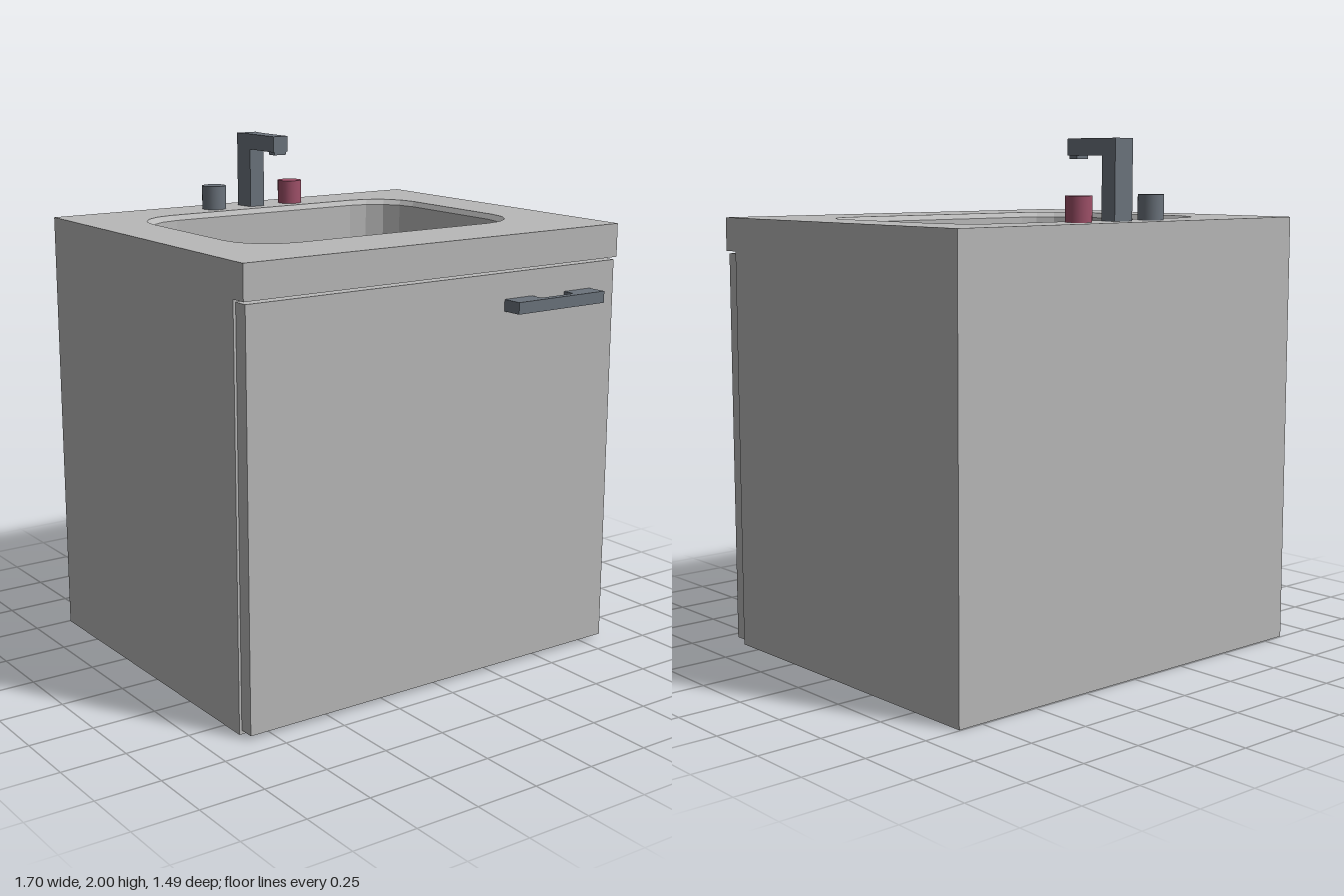
import * as THREE from 'three';

const TOP = 1.7;

// Rounded rectangle in plan, as [x, z] points
function ring(hx, z0, z1, r, steps = 4) {
  const corners = [[hx - r, z1 - r], [r - hx, z1 - r], [r - hx, z0 + r], [hx - r, z0 + r]];
  const pts = [];
  corners.forEach(([cx, cz], q) => {
    for (let i = 0; i <= steps; i++) {
      const a = (q + i / steps) * Math.PI / 2;
      pts.push([cx + r * Math.cos(a), cz + r * Math.sin(a)]);
    }
  });
  return pts;
}

// Plan outline ([x, z] points) as a shape; rotated by -90 degrees about x it lies flat
const planPoints = pts => pts.map(([x, z]) => new THREE.Vector2(x, -z));
const planShape = pts => new THREE.Shape(planPoints(pts));
const planExtrude = (pts, y, h) =>
  new THREE.ExtrudeGeometry(planShape(pts), { depth: h, bevelEnabled: false })
    .rotateX(-Math.PI / 2).translate(0, y, 0);

// Box from its limits
const box = (x0, x1, y0, y1, z0, z1) =>
  new THREE.BoxGeometry(x1 - x0, y1 - y0, z1 - z0)
    .translate((x0 + x1) / 2, (y0 + y1) / 2, (z0 + z1) / 2);

// Cabinet side profile with a front lip, pulled across the width and left open on top
function cabinetGeometry() {
  const profile = new THREE.Shape([
    [-0.745, 0], [0.6, 0], [0.6, 1.57], [0.665, 1.57], [0.665, TOP], [-0.745, TOP],
  ].map(p => new THREE.Vector2(...p)));
  const solid = new THREE.ExtrudeGeometry(profile, { depth: 1.7, bevelEnabled: false })
    .rotateY(-Math.PI / 2).translate(0.85, 0, 0).toNonIndexed();
  const p = solid.attributes.position;
  const kept = [];
  for (let i = 0; i < p.count; i += 3) {
    if (Math.min(p.getY(i), p.getY(i + 1), p.getY(i + 2)) > TOP - 0.001) continue;
    for (let j = i; j < i + 3; j++) kept.push(p.getX(j), p.getY(j), p.getZ(j));
  }
  const g = new THREE.BufferGeometry();
  g.setAttribute('position', new THREE.Float32BufferAttribute(kept, 3));
  g.computeVertexNormals();
  return g;
}

// Bowl lofted down through rings and closed with a flat floor
function bowlGeometry(levels) {
  const out = [];
  const add = (...corners) => corners.forEach(c => out.push(...c));
  const at = (l, i) => {
    const [x, z] = l.pts[i % l.pts.length];
    return [x, l.y, z];
  };
  const n = levels[0].pts.length;
  for (let i = 0; i < n; i++) {
    for (let k = 0; k + 1 < levels.length; k++) {
      const a = at(levels[k], i), b = at(levels[k], i + 1);
      const c = at(levels[k + 1], i), d = at(levels[k + 1], i + 1);
      add(a, c, b, b, c, d);
    }
    const floor = levels[levels.length - 1];
    add([0, floor.y, -0.08], at(floor, i + 1), at(floor, i));
  }
  const g = new THREE.BufferGeometry();
  g.setAttribute('position', new THREE.Float32BufferAttribute(out, 3));
  g.computeVertexNormals();
  return g;
}

export function createModel() {
  const group = new THREE.Group();
  group.name = 'sinkCabinet';
  const material = (name, color) => {
    const m = new THREE.MeshStandardMaterial({ color });
    m.name = name;
    return m;
  };
  const grey = material('lightGrey', 0xb8b8b8);
  const metal = material('darkMetal', 0x6b737c);
  const red = material('hotRed', 0x9e5068);
  const add = (name, geometry, mat) => {
    const mesh = new THREE.Mesh(geometry, mat);
    mesh.name = name;
    group.add(mesh);
    return mesh;
  };

  // Cabinet and door
  add('cabinet', cabinetGeometry(), grey);
  add('door', box(-0.84, 0.84, 0.015, 1.56, 0.6, 0.66), grey);

  // Bowl: rim chamfer, wall, bottom bevel
  const levels = [
    { pts: ring(0.63, -0.53, 0.375, 0.19), y: TOP },
    { pts: ring(0.615, -0.515, 0.36, 0.19), y: 1.68 },
    { pts: ring(0.608, -0.51, 0.355, 0.19), y: 1.34 },
    { pts: ring(0.58, -0.48, 0.325, 0.18), y: 1.27 },
  ];
  add('bowl', bowlGeometry(levels), grey);

  // Worktop with the bowl opening
  const worktop = planShape([[-0.85, 0.665], [0.85, 0.665], [0.85, -0.745], [-0.85, -0.745]]);
  worktop.holes.push(new THREE.Path(planPoints(levels[0].pts)));
  add('worktop', new THREE.ShapeGeometry(worktop).rotateX(-Math.PI / 2).translate(0, TOP, 0), grey);

  // Door handle: a bar on two wide feet
  add('handle', planExtrude([
    [0.29, 0.66], [0.29, 0.742], [0.717, 0.742], [0.717, 0.66],
    [0.585, 0.66], [0.585, 0.713], [0.425, 0.713], [0.425, 0.66],
  ], 1.415, 0.045), metal);

  // Tap: tapered column, arm and outlet
  add('tapColumn', planExtrude([
    [-0.045, -0.665], [-0.033, -0.585], [0.033, -0.585], [0.045, -0.665],
  ], TOP, 0.3), metal);
  add('tapArm', box(-0.034, 0.034, 1.937, 2, -0.59, -0.405), metal);
  add('tapOutlet', box(-0.028, 0.028, 1.925, 1.94, -0.45, -0.408), metal);

  // Cold and hot knobs
  for (const [name, x, mat] of [['coldKnob', -0.187, metal], ['hotKnob', 0.184, red]]) {
    add(name, new THREE.CylinderGeometry(0.049, 0.049, 0.095, 20), mat)
      .position.set(x, TOP + 0.0475, -0.622);
  }
  return group;
}
